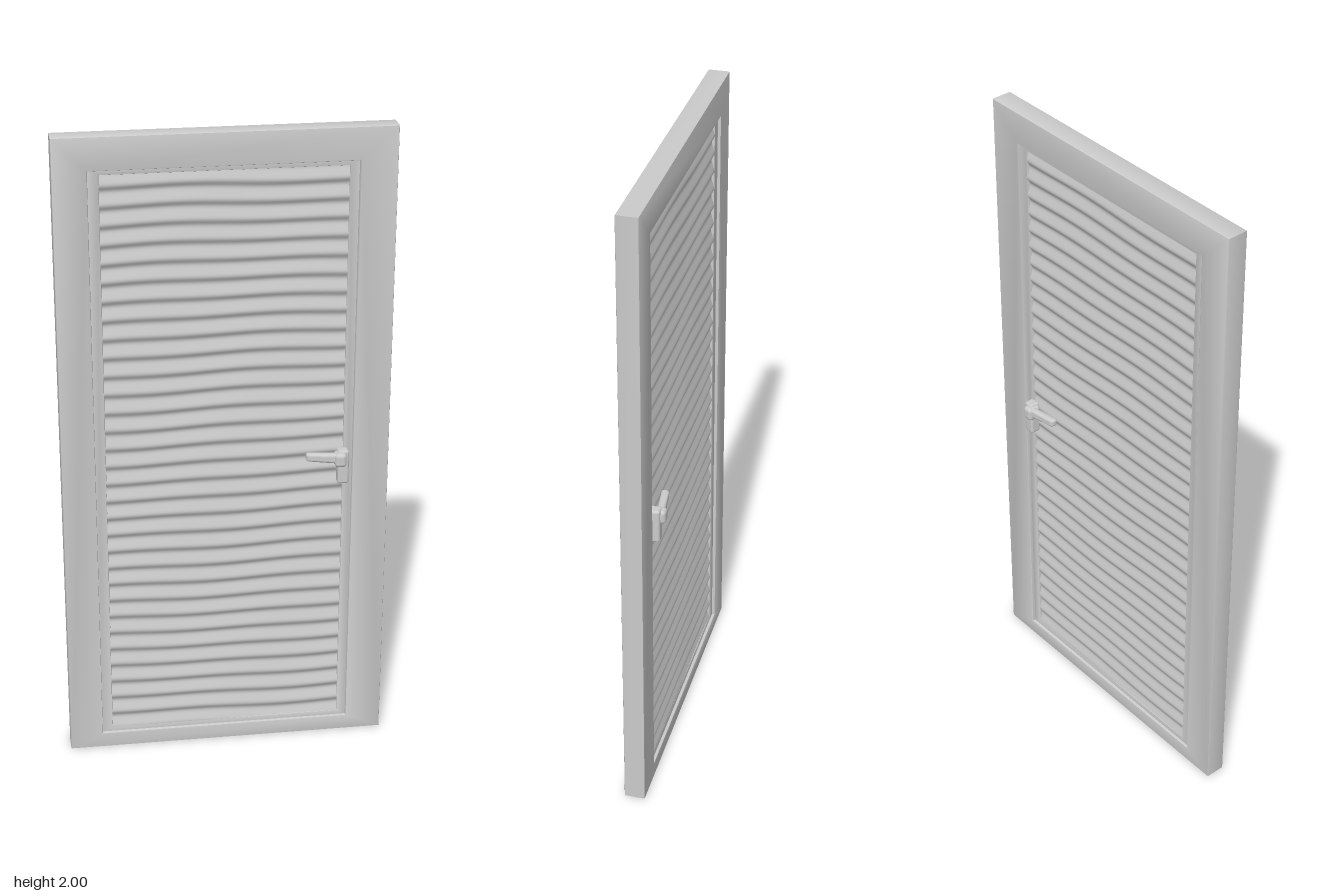
import * as THREE from 'three';
import { toCreasedNormals } from 'three/addons/utils/BufferGeometryUtils.js';
import { RoundedBoxGeometry } from 'three/addons/geometries/RoundedBoxGeometry.js';

const material = new THREE.MeshStandardMaterial({ color: 0xcccccc });

function add(parent, name, geometry, x = 0, y = 0, z = 0) {
  const mesh = new THREE.Mesh(geometry, material);
  mesh.name = name;
  mesh.position.set(x, y, z);
  parent.add(mesh);
  return mesh;
}

function rectangle(P, x0, y0, x1, y1) {
  const p = new P();
  p.moveTo(x0, y0);
  p.lineTo(x1, y0);
  p.lineTo(x1, y1);
  p.lineTo(x0, y1);
  p.closePath();
  return p;
}

// Rectangular ring with bevelled edges, centred in z; sizes include the bevel
function ring(outer, inner, depth, b) {
  const [a0, b0, a1, b1] = outer, [c0, d0, c1, d1] = inner;
  const shape = rectangle(THREE.Shape, a0 + b, b0 + b, a1 - b, b1 - b);
  shape.holes.push(rectangle(THREE.Path, c0 - b, d0 - b, c1 + b, d1 + b));
  const g = new THREE.ExtrudeGeometry(shape, {
    depth: depth - 2 * b, bevelSize: b, bevelThickness: b, bevelSegments: 2,
  });
  g.translate(0, 0, -depth / 2 + b);
  return toCreasedNormals(g, 0.6);
}

// Rippled louvre face: soft, slightly wandering horizontal slats
function louvreFace(width, y0, y1, count) {
  const g = new THREE.PlaneGeometry(width, y1 - y0, 24, count * 10);
  g.translate(0, (y0 + y1) / 2, 0);
  const p = g.attributes.position;
  for (let i = 0; i < p.count; i++) {
    const x = p.getX(i), y = p.getY(i);
    const sway = 0.5 * Math.sin(5 * x + 3.1 * y) + 0.25 * Math.sin(13 * x - 7 * y);
    const t = ((y - y0) / (y1 - y0)) * count * Math.PI * 2 + sway;
    p.setZ(i, 0.0175 + 0.0045 * Math.sin(t + 0.4 * Math.sin(t)));
  }
  g.computeVertexNormals();
  return g;
}

// Lever handle for the front face
function handle() {
  const group = new THREE.Group();
  add(group, 'handlePlate', new RoundedBoxGeometry(0.035, 0.11, 0.035, 3, 0.008), 0.357, 0.943, 0.034);
  add(group, 'handleNeck', new RoundedBoxGeometry(0.036, 0.045, 0.046, 3, 0.012), 0.347, 0.97, 0.043);
  // Lever tapers and curves back towards the door at its free end
  const lever = new RoundedBoxGeometry(0.115, 0.034, 0.024, 5, 0.01);
  const p = lever.attributes.position;
  for (let i = 0; i < p.count; i++) {
    const t = 0.5 - p.getX(i) / 0.115;
    p.setY(i, p.getY(i) * (1 - 0.25 * t) + 0.006 * t);
    p.setZ(i, p.getZ(i) - 0.014 * t * t);
  }
  lever.computeVertexNormals();
  add(group, 'handleLever', lever, 0.3, 0.973, 0.048);
  return group;
}

export function createModel() {
  const model = new THREE.Group();
  const door = new THREE.Group();
  door.name = 'door';
  door.position.z = -0.002;
  model.add(door);

  // Outer frame and the recessed moulding inside it
  add(door, 'frame', ring([-0.5, 0, 0.5, 2], [-0.398, 0.05, 0.388, 1.9], 0.066, 0.004));
  add(door, 'innerMoulding', ring([-0.405, 0.04, 0.395, 1.91], [-0.365, 0.065, 0.36, 1.885], 0.046, 0.004));

  // Louvres on both faces
  for (const side of [0, 1]) {
    const face = add(door, side ? 'backLouvres' : 'frontLouvres', louvreFace(0.76, 0.05, 1.9, 32), -0.003);
    face.rotation.y = side * Math.PI;
  }

  // The back handle is the front one mirrored through the door
  const front = handle();
  front.name = 'frontHandle';
  const back = handle();
  back.name = 'backHandle';
  back.scale.z = -1;
  model.add(front, back);
  return model;
}
